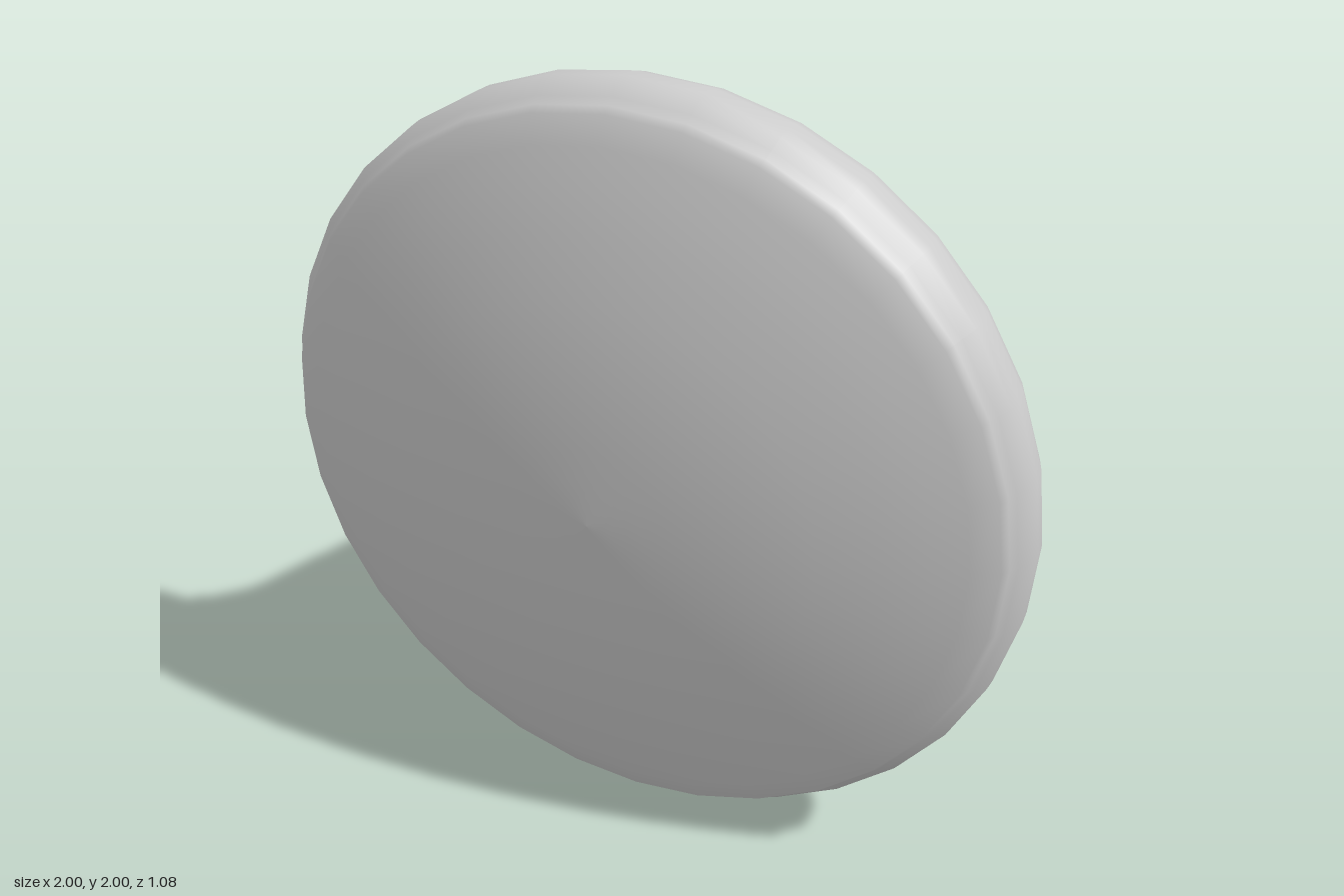
import * as THREE from 'three';

const SEGMENTS = 32;
const TILT = 0.053;

// Turns a [radius, depth] profile (back to front) around the z axis.
function turned(name, profile, material) {
  const points = profile.map(([r, d]) => new THREE.Vector2(r, d));
  const geometry = new THREE.LatheGeometry(points, SEGMENTS);
  geometry.rotateX(Math.PI / 2);
  const mesh = new THREE.Mesh(geometry, material);
  mesh.name = name;
  return mesh;
}

export function createModel() {
  const material = new THREE.MeshStandardMaterial({ color: 0xcccccc, side: THREE.DoubleSide });
  const knob = new THREE.Group();
  knob.name = 'knob';

  // Tapered stem: flat end cap, small bevel, straight cone, flared foot
  knob.add(turned('stem', [
    [0, -0.515], [0.44, -0.515], [0.46, -0.513], [0.48, -0.5], [0.494, -0.475],
    [0.598, -0.07], [0.612, -0.03], [0.64, 0.015], [0.68, 0.065], [0.72, 0.1],
    [0.755, 0.12],
  ], material));

  // Round plate: flat back, rounded rim with a slight step, shallow domed face
  const plate = [
    [0.74, 0.12], [0.94, 0.12], [0.955, 0.123], [0.982, 0.145], [0.998, 0.195],
    [1, 0.24], [0.996, 0.28], [0.972, 0.308], [0.958, 0.328], [0.945, 0.35],
  ];
  const faceRadius = 2.48;
  for (const r of [0.88, 0.8, 0.7, 0.55, 0.39, 0.2, 0]) {
    plate.push([r, 0.537 - faceRadius + Math.sqrt(faceRadius ** 2 - r ** 2)]);
  }
  knob.add(turned('plate', plate, material));

  // The whole knob leans slightly forward
  knob.rotation.x = TILT;
  knob.position.y = 1.015;

  const model = new THREE.Group();
  model.name = 'drawerKnob';
  model.add(knob);
  return model;
}
